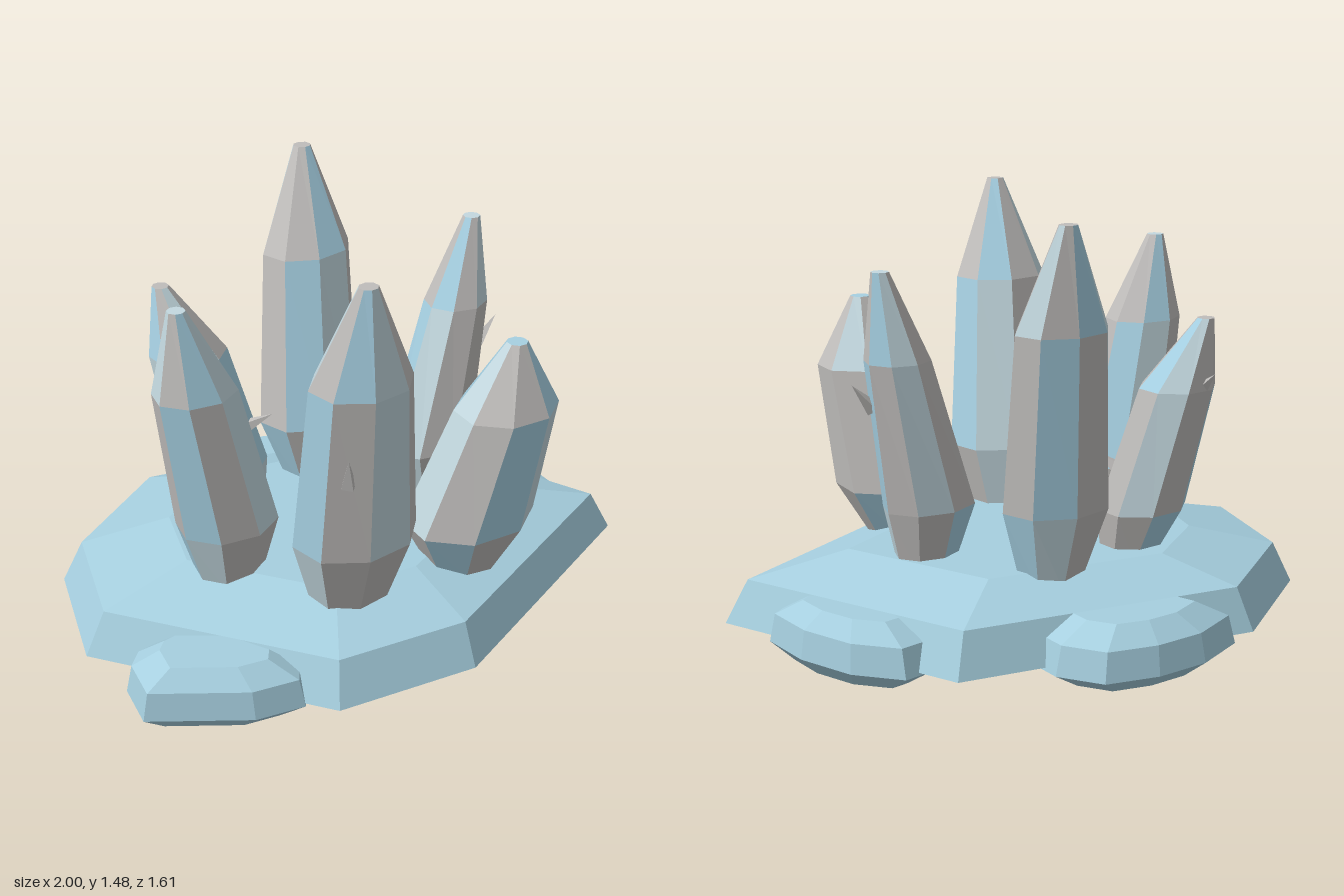
import * as THREE from 'three';

const material = (name, color) => {
  const m = new THREE.MeshStandardMaterial({ color });
  m.name = name;
  return m;
};

// Flat-faced skin through horizontal rings, capped at both ends.
// pick(side, band) gives the material index of a facet.
function loft(rings, pick = () => 0) {
  const buckets = [[], [], []];
  const n = rings[0].length;
  const add = (m, ...pts) => pts.forEach((p) => buckets[m].push(p.x, p.y, p.z));
  for (let r = 0; r < rings.length - 1; r++) {
    for (let i = 0; i < n; i++) {
      const j = (i + 1) % n;
      const [a, b, c, d] = [rings[r][i], rings[r][j], rings[r + 1][j], rings[r + 1][i]];
      add(pick(i, r), a, d, c, a, c, b);
    }
  }
  const bottom = rings[0], top = rings[rings.length - 1];
  for (let i = 1; i < n - 1; i++) {
    add(pick(0, 0), bottom[0], bottom[i], bottom[i + 1]);
    add(pick(0, rings.length - 2), top[0], top[i + 1], top[i]);
  }
  const geo = new THREE.BufferGeometry();
  geo.setAttribute('position', new THREE.Float32BufferAttribute(buckets.flat(), 3));
  let start = 0;
  buckets.forEach((b, m) => {
    if (b.length) geo.addGroup(start, b.length / 3, m);
    start += b.length / 3;
  });
  geo.computeVertexNormals();
  return geo;
}

// Stone slab: one outline repeated at [y, scale] levels about a centre
function slab(outline, [cx, cz], levels) {
  return loft(levels.map(([y, s]) => outline.map(([x, z]) =>
    new THREE.Vector3(cx + (x - cx) * s, y, cz + (z - cz) * s))));
}

// Crystal: each ring is [y, x, z, radiusX, radiusZ]
function crystal(rings, seed) {
  const sides = 8;
  const pattern = [2, 1, 2, 0, 2, 2, 1, 0];
  return loft(
    rings.map(([y, x, z, rx, rz]) => Array.from({ length: sides }, (_, i) => {
      const a = ((i + 0.2 + seed * 0.13) / sides) * Math.PI * 2;
      return new THREE.Vector3(x + Math.cos(a) * rx, y, z + Math.sin(a) * rz);
    })),
    (i, band) => pattern[(i + seed * 3 + band * 5) % sides],
  );
}

export function createModel() {
  const stone = material('stone blue', 0xa6cfdf);
  const blue = material('crystal blue', 0xa6d0e2);
  const pale = material('crystal pale', 0xc3d8df);
  const grey = material('crystal grey', 0xbfbdbb);
  const model = new THREE.Group();
  model.name = 'crystalCluster';
  const add = (name, geo, mat) => {
    const mesh = new THREE.Mesh(geo, mat);
    mesh.name = name;
    model.add(mesh);
    return mesh;
  };

  // Main rock base
  add('rockBase', slab(
    [[-1, 0.03], [-0.86, -0.43], [-0.41, -0.72], [0.63, -0.5], [1, 0.38], [0.04, 0.8], [-0.46, 0.74]],
    [0, 0], [[0, 0.7], [0.08, 1], [0.23, 0.925], [0.31, 0.6]]), stone);

  // Smaller rocks around the edge
  const lumpLevels = [[0.015, 0.72], [0.07, 1], [0.17, 0.93], [0.23, 0.6]];
  add('backRock', slab(
    [[-0.31, -0.74], [-0.12, -0.81], [0.07, -0.81], [0.25, -0.76], [0.34, -0.62], [0.34, -0.5], [0, -0.45], [-0.25, -0.55]],
    [0.02, -0.6], lumpLevels), stone);
  add('leftRock', slab(
    [[0.65, -0.36], [0.74, -0.37], [0.86, -0.23], [0.93, -0.03], [0.94, 0.17], [0.88, 0.21], [0.6, 0.1]],
    [0.75, -0.08], lumpLevels), stone);
  add('rightRock', slab(
    [[-0.48, 0.58], [-0.53, 0.65], [-0.7, 0.62], [-1, 0.43], [-0.97, 0.26], [-0.91, 0.2], [-0.84, 0.19], [-0.6, 0.35]],
    [-0.73, 0.41], lumpLevels), stone);

  // Six leaning crystals: foot, lower ring, shoulder, tip
  const crystals = {
    backLeftCrystal: [[0.25, 0.13, -0.3, 0.11, 0.1], [0.52, 0.12, -0.32, 0.2, 0.16],
      [1.13, 0.17, -0.415, 0.17, 0.13], [1.48, 0.21, -0.5, 0.032, 0.03]],
    frontRightCrystal: [[0.25, -0.21, 0.43, 0.14, 0.11], [0.52, -0.22, 0.47, 0.22, 0.175],
      [1.13, -0.27, 0.57, 0.175, 0.145], [1.48, -0.3, 0.645, 0.032, 0.03]],
    backRightCrystal: [[0.25, -0.24, -0.25, 0.1, 0.09], [0.44, -0.27, -0.29, 0.165, 0.14],
      [0.87, -0.35, -0.37, 0.14, 0.125], [1.11, -0.41, -0.44, 0.03, 0.03]],
    frontLeftCrystal: [[0.25, 0.24, 0.46, 0.13, 0.11], [0.44, 0.245, 0.47, 0.24, 0.2],
      [0.87, 0.32, 0.555, 0.185, 0.155], [1.11, 0.33, 0.58, 0.035, 0.035]],
    rightCrystal: [[0.25, -0.48, 0.1, 0.11, 0.1], [0.48, -0.49, 0.11, 0.18, 0.15],
      [1.0, -0.6, 0.125, 0.145, 0.12], [1.3, -0.66, 0.135, 0.03, 0.03]],
    leftCrystal: [[0.25, 0.4, 0.05, 0.1, 0.08], [0.48, 0.39, 0.04, 0.17, 0.13],
      [1.0, 0.515, 0.02, 0.115, 0.105], [1.3, 0.58, 0.01, 0.03, 0.03]],
  };
  Object.entries(crystals).forEach(([name, rings], k) => add(name, crystal(rings, k), [blue, pale, grey]));

  // Tiny shards growing from the crystal sides: position, direction
  const up = new THREE.Vector3(0, 1, 0);
  [
    [[0.62, 0.88, 0.07], [0.7, 0.8, 0]],
    [[-0.37, 0.88, 0.65], [-0.2, 0.9, 0.3]],
    [[-0.38, 0.9, -0.49], [0.1, 0.6, -0.7]],
    [[-0.16, 0.63, 0.34], [0.2, 0.5, -0.8]],
    [[-0.16, 0.61, -0.22], [0.5, 0.5, 0.6]],
  ].forEach(([p, d]) => {
    const geo = new THREE.ConeGeometry(0.028, 0.12, 4).toNonIndexed();
    geo.computeVertexNormals();
    const shard = add('shard', geo, grey);
    shard.position.set(...p);
    shard.quaternion.setFromUnitVectors(up, new THREE.Vector3(...d).normalize());
  });

  return model;
}
